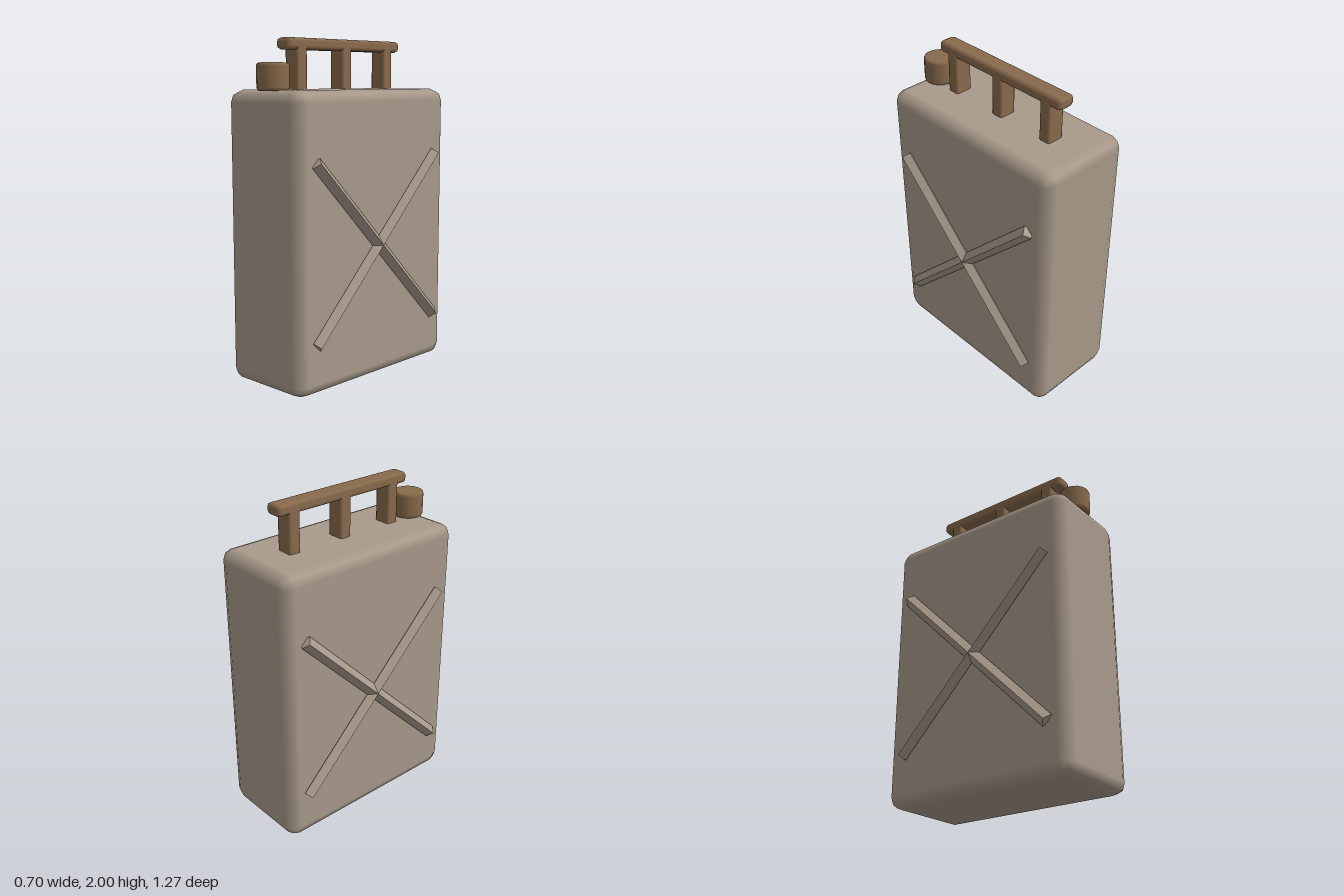
import * as THREE from 'three';
import { RoundedBoxGeometry } from 'three/addons/geometries/RoundedBoxGeometry.js';

export function createModel() {
  const model = new THREE.Group();
  model.name = 'fuelCan';
  const canPaint = new THREE.MeshStandardMaterial({ name: 'canPaint', color: 0xa8998a });
  const brownPaint = new THREE.MeshStandardMaterial({ name: 'brownPaint', color: 0x886a4c });

  const add = (name, geometry, material, x, y, z) => {
    const mesh = new THREE.Mesh(geometry, material);
    mesh.name = name;
    mesh.position.set(x, y, z);
    model.add(mesh);
    return mesh;
  };

  // Tank with soft two-step edges
  add('body', new RoundedBoxGeometry(0.6, 1.71, 1.27, 1, 0.07), canPaint, 0, 0.855, 0);

  // Crossed pressed ribs: square bars set on edge, half sunk into each side
  const ribGeometry = new THREE.BoxGeometry(0.055, 1.45, 0.055);
  ribGeometry.rotateY(Math.PI / 4);
  for (const side of [-1, 1]) {
    for (const tilt of [-1, 1]) {
      const rib = add(side > 0 ? 'leftRib' : 'rightRib', ribGeometry, canPaint, side * 0.31, 0.806, 0);
      rib.rotation.x = tilt * Math.PI / 4;
    }
  }

  // Carrying handle: three posts and a grip bar
  for (const z of [-0.365, 0, 0.365]) {
    add('handlePost', new RoundedBoxGeometry(0.108, 0.27, 0.075, 1, 0.012), brownPaint, 0, 1.825, z);
  }
  add('handleGrip', new RoundedBoxGeometry(0.108, 0.067, 0.945, 1, 0.022), brownPaint, 0, 1.9665, 0);

  // Filler cap with eased rims
  const capProfile = [
    [0, 1.705], [0.08, 1.705], [0.088, 1.712], [0.092, 1.724],
    [0.092, 1.843], [0.088, 1.855], [0.078, 1.86], [0, 1.86],
  ].map(([r, y]) => new THREE.Vector2(r, y));
  add('fillerCap', new THREE.LatheGeometry(capProfile, 16), brownPaint, 0, 0, 0.543);

  return model;
}
